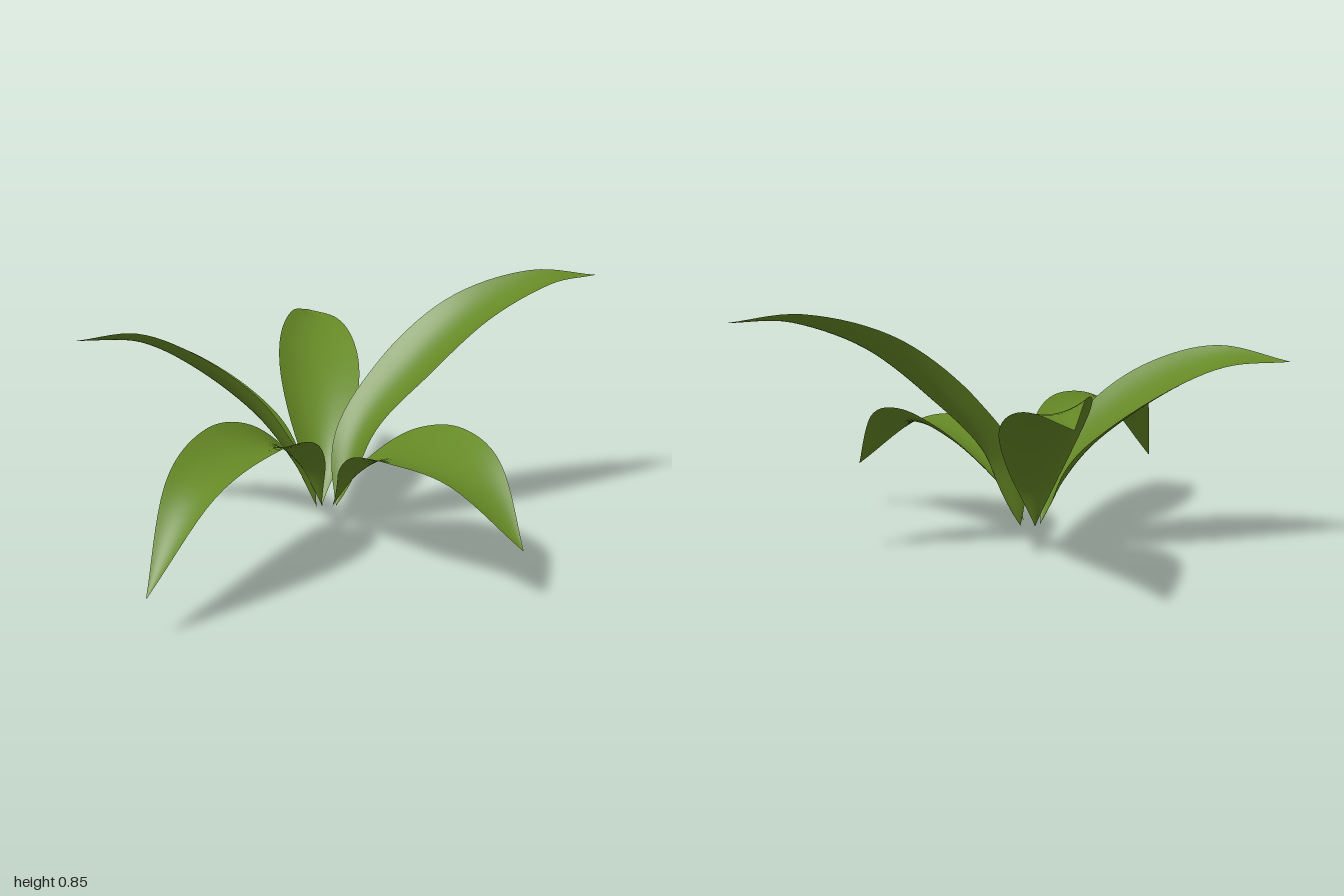
import * as THREE from 'three';

const UP = new THREE.Vector3(0, 1, 0);

// Smooth channelled blade swept along an arching spine.
// roll raises the left edge, bias moves the widest point (higher is nearer the tip).
function leafGeometry(spine, halfWidth, roll, bias) {
  const rows = 36;
  const cols = 10;
  const curve = new THREE.CatmullRomCurve3(spine.map((p) => new THREE.Vector3(...p)), false, 'catmullrom', 0.5);
  const positions = [];
  const index = [];
  for (let i = 0; i <= rows; i++) {
    const t = i / rows;
    const centre = curve.getPoint(t);
    const tangent = curve.getTangent(t);
    const left = new THREE.Vector3().crossVectors(UP, tangent).normalize().applyAxisAngle(tangent, roll);
    const normal = new THREE.Vector3().crossVectors(tangent, left);
    // Width swells and closes to a point; the channel flattens towards the tip
    const width = Math.max(0.001, halfWidth * Math.sin(Math.PI * t ** bias));
    const depth = width * (0.45 - 0.25 * t);
    for (let j = 0; j <= cols; j++) {
      const s = (j / cols) * 2 - 1;
      const p = centre.clone()
        .addScaledVector(left, -s * width)
        .addScaledVector(normal, (s * s - 1) * depth);
      positions.push(p.x, p.y, p.z);
      if (i < rows && j < cols) {
        const a = i * (cols + 1) + j;
        const b = a + cols + 1;
        index.push(a, a + 1, b, a + 1, b + 1, b);
      }
    }
  }
  const geometry = new THREE.BufferGeometry();
  geometry.setAttribute('position', new THREE.Float32BufferAttribute(positions, 3));
  geometry.setIndex(index);
  geometry.computeVertexNormals();
  return geometry;
}

export function createModel() {
  const group = new THREE.Group();
  group.name = 'plant';

  const leafGreen = new THREE.MeshStandardMaterial({ color: 0x658825, side: THREE.DoubleSide });
  leafGreen.name = 'leafGreen';

  const add = (name, geometry) => {
    const mesh = new THREE.Mesh(geometry, leafGreen);
    mesh.name = name;
    group.add(mesh);
    return mesh;
  };

  // Five leaves around the crown
  add('leftLeaf', leafGeometry([
    [-0.02, 0.11, -0.02], [0.07, 0.265, -0.035], [0.23, 0.378, -0.04],
    [0.44, 0.415, -0.035], [0.66, 0.368, -0.05], [0.865, 0.17, -0.07],
  ], 0.165, 0.19, 1.16));

  add('frontLeaf', leafGeometry([
    [-0.04, 0.11, 0.01], [-0.005, 0.29, 0.09], [0.08, 0.425, 0.26],
    [0.205, 0.468, 0.5], [0.335, 0.39, 0.77], [0.445, 0.13, 1],
  ], 0.135, -0.14, 1.13));

  add('frontRightLeaf', leafGeometry([
    [-0.07, 0.1, 0.01], [-0.1, 0.275, 0.05], [-0.19, 0.45, 0.13],
    [-0.33, 0.593, 0.268], [-0.485, 0.673, 0.425], [-0.63, 0.655, 0.6],
  ], 0.15, 0.28, 1.03));

  add('backRightLeaf', leafGeometry([
    [-0.08, 0.1, -0.02], [-0.135, 0.275, -0.06], [-0.27, 0.445, -0.155],
    [-0.445, 0.565, -0.278], [-0.64, 0.625, -0.41], [-0.865, 0.6, -0.54],
  ], 0.145, 0.2, 1.06));

  add('backLeaf', leafGeometry([
    [-0.04, 0.1, -0.05], [-0.035, 0.36, -0.13], [0.022, 0.565, -0.295],
    [0.088, 0.745, -0.52], [0.155, 0.835, -0.78], [0.21, 0.83, -1],
  ], 0.13, 0.25, 0.85));

  // Hair-thin stalk under the leaf bases
  add('stalk', new THREE.CylinderGeometry(0.0004, 0.0004, 0.1, 6)).position.set(-0.065, 0.05, -0.01);

  return group;
}
